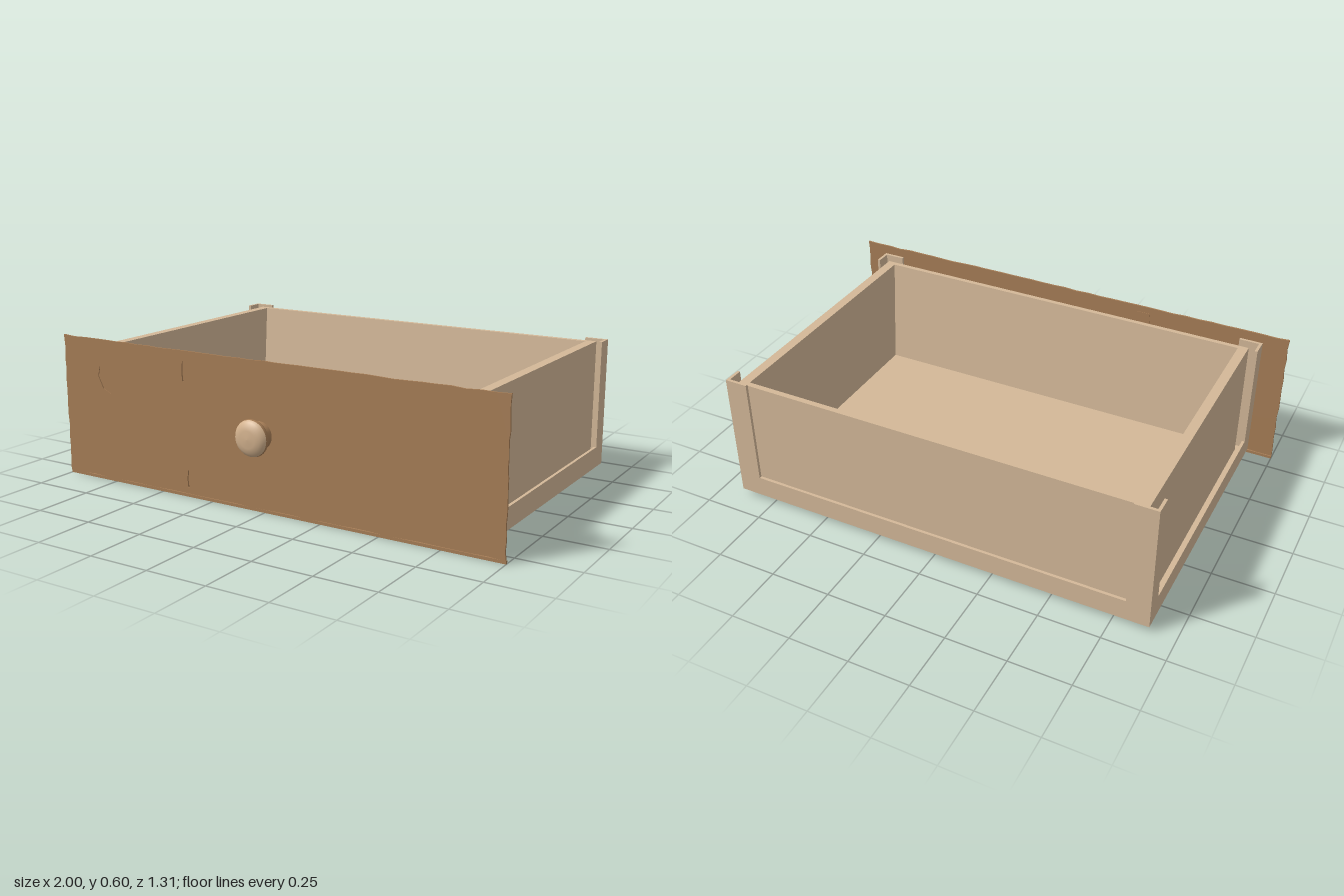
import * as THREE from 'three';

const mat = (name, color) => {
  const m = new THREE.MeshStandardMaterial({ color });
  m.name = name;
  return m;
};

export function createModel() {
  const root = new THREE.Group();
  root.name = 'drawer';
  const pale = mat('paleWood', 0xd3b898);
  const brown = mat('brownWood', 0xa67d56);
  const tan = mat('knobWood', 0xd2b18d);

  const add = (name, geo, material, parent = root) => {
    const m = new THREE.Mesh(geo, material);
    m.name = name;
    parent.add(m);
    return m;
  };
  // box spanning two opposite corners, in any order
  const box = (name, a, b, material = pale) => {
    const size = a.map((v, i) => Math.abs(b[i] - v));
    const m = add(name, new THREE.BoxGeometry(...size), material);
    m.position.set(...a.map((v, i) => (v + b[i]) / 2));
  };

  // outer frame of thin angle strips
  const X = 0.897, ZF = 0.548, ZB = -0.65, Y0 = 0.032, YT = 0.57;
  const T = 0.012, RAIL = 0.12, POST_X = 0.095, POST_Z = 0.074, UNDER = 0.088;
  const BOTTOM = Y0 + T;
  for (const s of [-1, 1]) {
    const side = s > 0 ? 'left' : 'right';
    box(side + 'Rail', [s * X, Y0, ZB], [s * (X - T), RAIL, ZF]);
    box(side + 'UnderStrip', [s * (X - T), Y0, ZB + T], [s * (X - UNDER), BOTTOM, ZF - T]);
    for (const [end, z, d] of [['Front', ZF, -1], ['Back', ZB, 1]]) {
      box(side + end + 'PostSide', [s * X, RAIL, z], [s * (X - T), YT, z + d * POST_Z]);
      box(side + end + 'PostFace', [s * (X - T), RAIL, z], [s * (X - POST_X), YT, z + d * T]);
    }
  }
  for (const [end, z, d] of [['front', ZF, -1], ['back', ZB, 1]]) {
    box(end + 'Rail', [T - X, Y0, z], [X - T, RAIL, z + d * T]);
    box(end + 'UnderStrip', [UNDER - X, Y0, z + d * T], [X - UNDER, BOTTOM, z + d * UNDER]);
  }

  // inner tray standing inside the frame, with a gap all round
  const IN = 0.813, OUT = 0.853, TF = 0.503, TB = -0.633, WALL = 0.56, FLOOR = 0.095;
  for (const s of [-1, 1]) {
    box(s > 0 ? 'leftWall' : 'rightWall', [s * IN, BOTTOM, TB], [s * OUT, WALL, TF]);
  }
  box('floor', [-IN, BOTTOM, TB], [IN, FLOOR, TF]);
  // front and back walls, whose inner faces lean in towards the floor
  const leaningWall = (name, outer, top, bottom) => {
    const shape = new THREE.Shape([[outer, FLOOR], [outer, WALL], [top, WALL], [bottom, FLOOR]]
      .map(([z, y]) => new THREE.Vector2(-z, y)));
    const geo = new THREE.ExtrudeGeometry(shape, { depth: 2 * IN, bevelEnabled: false });
    geo.translate(0, 0, -IN).rotateY(Math.PI / 2);
    add(name, geo, pale);
  };
  leaningWall('backWall', TB, -0.61, -0.575);
  leaningWall('frontWall', TF, 0.483, 0.443);

  // thin front board with worn edges
  let seed = 7;
  const rand = () => ((seed = (seed * 16807) % 2147483647) / 2147483647);
  const outline = [];
  const edge = (x0, y0, x1, y1, nx, ny, n) => {
    for (let i = 0; i < n; i++) {
      const t = i / n, w = i ? rand() * 0.005 : 0;
      outline.push(new THREE.Vector2(x0 + (x1 - x0) * t - nx * w, y0 + (y1 - y0) * t - ny * w));
    }
  };
  edge(-1, 0.017, 1, 0.017, 0, -1, 30);
  edge(1, 0.017, 1, 0.6, 1, 0, 18);
  edge(1, 0.6, -1, 0.6, 0, 1, 36);
  edge(-1, 0.6, -1, 0.017, -1, 0, 12);
  const boardShape = new THREE.Shape(outline);

  // sunken wood knot and hairline cracks
  const path = (pts, x, y) => pts.map(([px, py]) => new THREE.Vector2(px + x, py + y));
  const knotRing = path([[-0.055, 0.01], [-0.045, 0.05], [0.045, 0.05], [0.058, 0],
    [0.01, -0.058], [-0.03, -0.04]], -0.765, 0.435);
  boardShape.holes.push(new THREE.Path(knotRing));
  for (const [x, y, h] of [[-0.378, 0.515, 0.04], [-0.365, 0.08, 0.035]]) {
    boardShape.holes.push(new THREE.Path(path([[-0.002, -h], [0.004, -h], [0, 0],
      [0.004, h], [0, h], [-0.005, 0]], x, y)));
  }
  const plate = (name, shape, z, depth) => {
    add(name, new THREE.ExtrudeGeometry(shape, { depth, bevelEnabled: false }), brown).position.z = z;
  };
  plate('frontBoard', boardShape, 0.566, 0.007);
  plate('woodKnot', new THREE.Shape(knotRing), 0.56, 0.009);
  box('crackBacking', [-0.4, 0.03, 0.564], [-0.34, 0.57, 0.566], brown);
  box('frontBoardLip', [-1, 0.005, 0.561], [1, 0.017, 0.57], brown);

  // turned knob: darker stem and rim, lighter domed face
  const knob = new THREE.Group();
  knob.name = 'knob';
  knob.position.set(-0.013, 0.312, 0.57);
  knob.rotation.x = Math.PI / 2;
  root.add(knob);
  const lathe = (name, pts, material) => add(name,
    new THREE.LatheGeometry(pts.map(([r, y]) => new THREE.Vector2(r, y)), 32), material, knob);
  lathe('knobStem', [[0.054, 0], [0.054, 0.012], [0.051, 0.02], [0.051, 0.038]], brown);
  lathe('knobRim', [[0.05, 0.036], [0.062, 0.039], [0.07, 0.046], [0.073, 0.054], [0.071, 0.062]], brown);
  lathe('knobFace', [[0.071, 0.062], [0.064, 0.072], [0.052, 0.08], [0.034, 0.085], [0, 0.087]], tan);

  return root;
}
